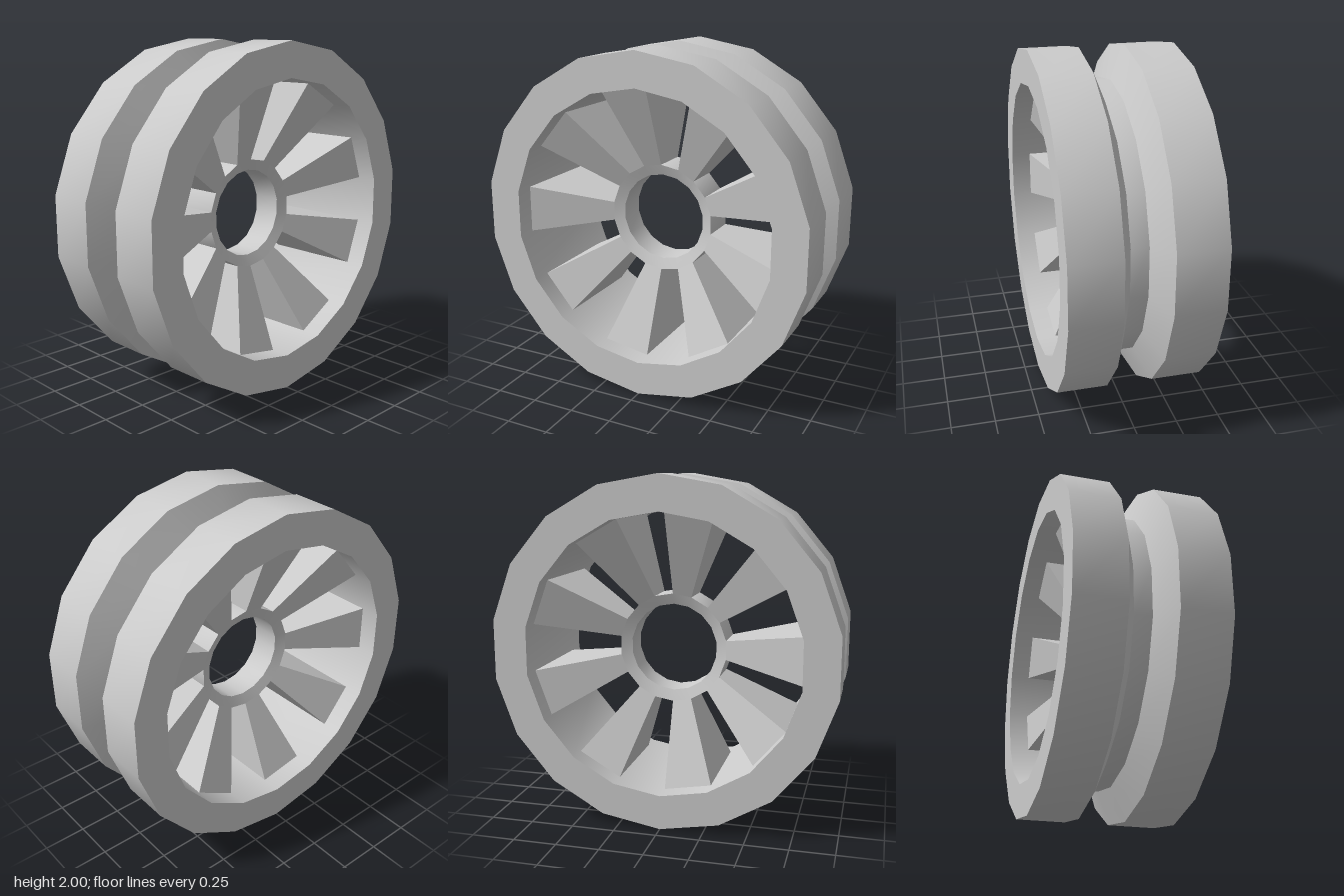
import * as THREE from 'three';
import { toCreasedNormals } from 'three/addons/utils/BufferGeometryUtils.js';

const SIDES = 18;
const SPOKES = 9;
const STEP = (Math.PI * 2) / SIDES;
const INNER = 0.32; // where the spokes leave the hub
const OUTER = 0.8; // where the spokes meet the rim
const BORE = 0.257;

// Half thickness of the dished centre at a given radius
const dish = (r) => 0.085 + ((r - BORE) / (OUTER - BORE)) * 0.215;

export function createModel() {
  const material = new THREE.MeshStandardMaterial({ color: 0xcccccc });
  const wheel = new THREE.Group();
  wheel.name = 'wheel';
  wheel.position.y = 1;

  // Closed (radius, depth) profile turned around the z axis
  function turned(name, profile) {
    const points = [...profile, profile[0]].map(([r, z]) => new THREE.Vector2(r, z));
    const geometry = new THREE.LatheGeometry(points, SIDES).rotateX(Math.PI / 2);
    const mesh = new THREE.Mesh(toCreasedNormals(geometry, Math.PI / 7), material);
    mesh.name = name;
    wheel.add(mesh);
  }

  // Rim with a groove around the middle
  turned('rim', [
    [OUTER, -0.415], [1, -0.415], [1, -0.13], [0.81, -0.05],
    [0.81, 0.05], [1, 0.13], [1, 0.415], [OUTER, 0.415],
  ]);

  // Hub ring around the bore
  turned('hub', [
    [BORE, -dish(BORE)], [INNER, -dish(INNER)], [INNER, dish(INNER)], [BORE, dish(BORE)],
  ]);

  // Wedge spokes: a box bent to radial sides, thicker towards the rim
  const spokes = new THREE.Group();
  spokes.name = 'spokes';
  for (let i = 0; i < SPOKES; i++) {
    const geometry = new THREE.BoxGeometry(1, 1, 1).toNonIndexed();
    const p = geometry.attributes.position;
    for (let v = 0; v < p.count; v++) {
      const angle = (2 * i + 1.5 + p.getX(v)) * STEP;
      const r = p.getY(v) > 0 ? OUTER : INNER;
      p.setXYZ(v, r * Math.sin(angle), r * Math.cos(angle), Math.sign(p.getZ(v)) * dish(r));
    }
    geometry.computeVertexNormals();
    const spoke = new THREE.Mesh(geometry, material);
    spoke.name = `spoke${i + 1}`;
    spokes.add(spoke);
  }
  wheel.add(spokes);

  const model = new THREE.Group();
  model.name = 'groovedWheel';
  model.add(wheel);
  return model;
}
